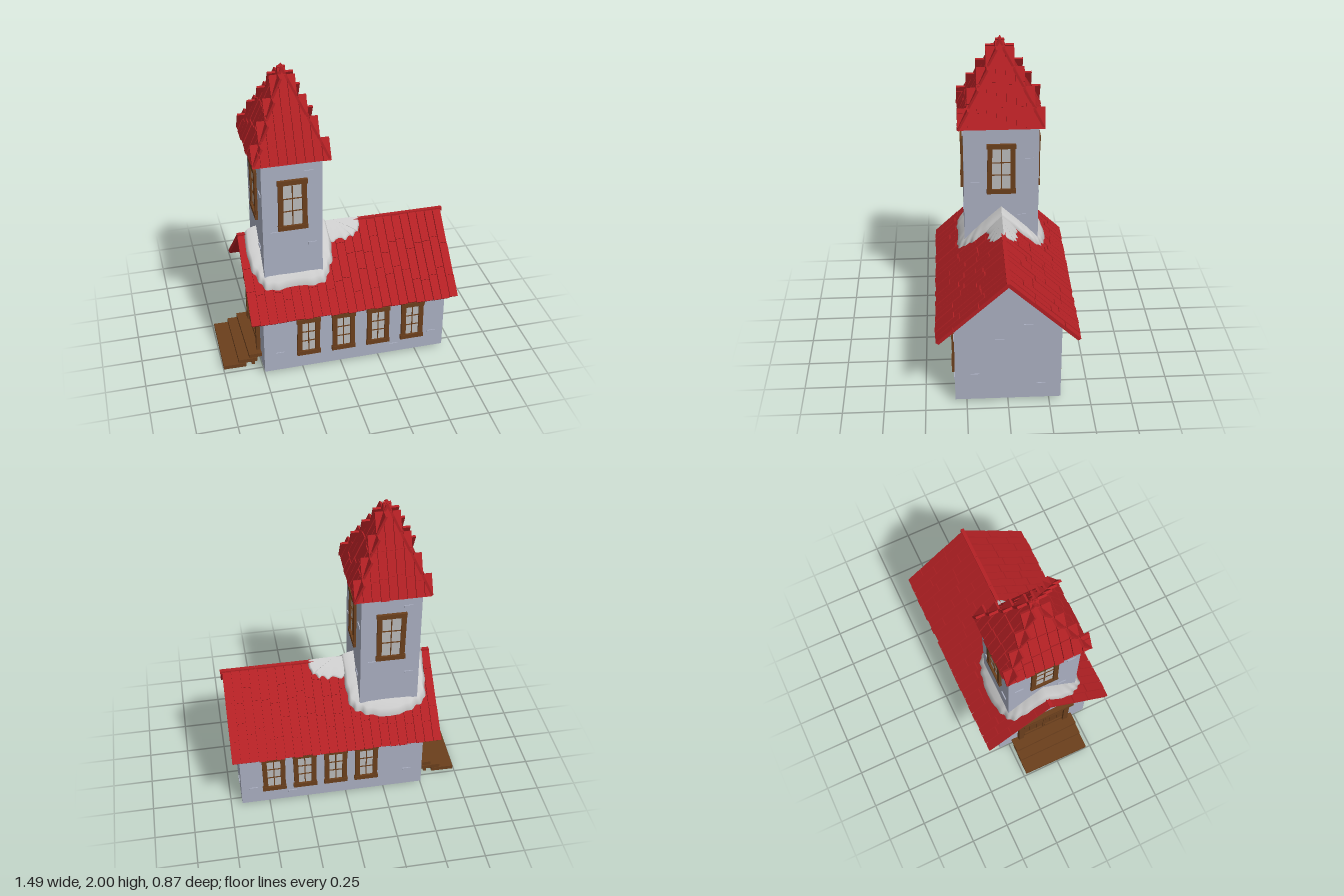
import * as THREE from 'three';
import { ParametricGeometry } from 'three/addons/geometries/ParametricGeometry.js';

const mat = (color, side = THREE.FrontSide) => new THREE.MeshStandardMaterial({ color, side });
const WALL = mat(0xa9aec0), RED = mat(0xb32024), WOOD = mat(0x6b3f1c);
const GLASS = mat(0xb9b9b9), SNOW = mat(0xd8d8d8, THREE.DoubleSide);
const unit = new THREE.BoxGeometry(1, 1, 1);

let seed = 7;
const rnd = (a, b) => {
  seed = (seed * 16807) % 2147483647;
  return a + (b - a) * (seed / 2147483647);
};

function box(parent, name, m, w, h, d, x, y, z) {
  const mesh = new THREE.Mesh(unit, m);
  mesh.name = name;
  mesh.scale.set(w, h, d);
  mesh.position.set(x, y, z);
  parent.add(mesh);
  return mesh;
}

function group(parent, name, x = 0, y = 0, z = 0, ry = 0) {
  const g = new THREE.Group();
  g.name = name;
  g.position.set(x, y, z);
  g.rotation.y = ry;
  parent.add(g);
  return g;
}

// Main roof section: half span, ridge height, eave drop
const RIDGE = 0.875, SPAN = 0.43, DROP = 0.4;
const roofY = z => RIDGE - Math.abs(z) * DROP / SPAN;

// Window facing +z, centred on its origin at the wall surface
function windowUnit(parent, w, h, x, y, z, ry) {
  const g = group(parent, 'window', x, y, z, ry);
  const b = 0.03;
  box(g, 'pane', GLASS, w - b, h - b, 0.004, 0, 0, 0.002);
  for (const s of [-1, 1]) {
    const post = box(g, 'framePost', WOOD, b, h, 0.024, s * (w - b) / 2, 0, 0.003);
    post.rotation.z = rnd(-0.02, 0.02);
    box(g, 'frameRail', WOOD, w + 0.008, b, 0.03, 0, s * (h - b) / 2, 0.003);
    box(g, 'crossBar', WOOD, w - b, 0.006, 0.008, 0, s * h / 8, 0.004).rotation.z = rnd(-0.03, 0.03);
  }
  box(g, 'middleBar', WOOD, 0.006, h - b, 0.008, 0, 0, 0.004);
}

// One column of tiles running down a slope (local z), split at the given marks
function tileColumn(parent, x, w, marks) {
  for (let i = 0; i + 1 < marks.length; i++) {
    const len = marks[i + 1] - marks[i];
    if (len < 0.02) continue;
    const t = box(parent, 'tile', RED, w - 0.005, 0.014, len - 0.004,
      x, rnd(-0.009, -0.005), (marks[i] + marks[i + 1]) / 2 + rnd(0, 0.004));
    t.rotation.x = 0.012;
    t.rotation.y = rnd(-0.008, 0.008);
  }
}

// Thin draped snow: polar patch with an outline function, following the roof
function snowPatch(parent, name, cx, outline, thick) {
  const geo = new ParametricGeometry((u, v, p) => {
    const a = u * Math.PI * 2, [rx, rz] = outline(a);
    const z = rz * v;
    p.set(cx + rx * v, roofY(z) + 0.004 + thick * Math.sqrt(Math.max(0, 1 - v ** 4)), z);
  }, 120, 14);
  const m = new THREE.Mesh(geo, SNOW);
  m.name = name;
  parent.add(m);
}

export function createModel() {
  const root = new THREE.Group();
  root.name = 'church';

  // Hall walls: two gables and two long walls, open underneath
  const hall = group(root, 'hall');
  const gable = new THREE.Shape([[-0.32, 0.02], [0.32, 0.02], [0.32, 0.555], [0, 0.85], [-0.32, 0.555]]
    .map(p => new THREE.Vector2(...p)));
  const gableGeo = new THREE.ExtrudeGeometry(gable, { depth: 0.025, bevelEnabled: false });
  gableGeo.rotateY(Math.PI / 2);
  for (const x of [-0.5, 0.655]) {
    const m = new THREE.Mesh(gableGeo, WALL);
    m.name = 'gableWall';
    m.position.x = x;
    hall.add(m);
  }
  for (const s of [-1, 1]) box(hall, 'longWall', WALL, 1.14, 0.535, 0.025, 0.09, 0.2875, s * 0.3075);

  // Hall windows
  for (let i = 0; i < 4; i++) {
    windowUnit(hall, 0.145, 0.28, -0.215 + i * 0.227, 0.26, 0.32, 0);
    windowUnit(hall, 0.145, 0.28, -0.13 + i * 0.199, 0.26, -0.32, Math.PI);
  }

  // Main roof: a slab with tile columns on each slope
  const roof = group(root, 'mainRoof', 0.07);
  const L = Math.hypot(SPAN, DROP), cols = 24, cw = 1.32 / cols;
  for (const ry of [0, Math.PI]) {
    const slope = group(group(roof, 'roofSide', 0, RIDGE + 0.003, 0, ry), 'slope');
    slope.rotation.x = Math.atan2(DROP, SPAN);
    box(slope, 'roofSlab', RED, 1.31, 0.012, L - 0.01, 0, -0.019, L / 2);
    for (let i = 0; i < cols; i++) {
      const a = L * rnd(0.2, 0.42), b = L * rnd(0.55, 0.8);
      tileColumn(slope, (i + 0.5) * cw - 0.66, cw, [0, a, b, L + rnd(-0.004, 0.004)]);
    }
  }
  for (let i = 0; i < 6; i++)
    box(roof, 'ridgeBoard', RED, 0.218, 0.022, 0.024, -0.548 + i * 0.222, RIDGE - 0.008, 0);

  // Tower: a hollow shaft open at the bottom
  const TX = -0.283, HX = 0.183, HZ = 0.235;
  const tower = group(root, 'tower', TX);
  const rect = (S, a, b) => {
    const s = new S();
    s.moveTo(-a, -b).lineTo(a, -b).lineTo(a, b).lineTo(-a, b).closePath();
    return s;
  };
  const plan = rect(THREE.Shape, HX, HZ);
  plan.holes.push(rect(THREE.Path, HX - 0.02, HZ - 0.02));
  const shaft = new THREE.Mesh(new THREE.ExtrudeGeometry(plan, { depth: 1.46, bevelEnabled: false }), WALL);
  shaft.name = 'towerWalls';
  shaft.rotation.x = -Math.PI / 2;
  shaft.position.y = 0.02;
  tower.add(shaft);

  // Tower spire: a pyramid core with stepped tile columns on four sides
  const spire = group(tower, 'spire', -0.003);
  const EX = 0.235, EZ = 0.27, H = 0.5, EAVE = 1.48;
  const core = new THREE.ConeGeometry(Math.SQRT2, 1, 4, 1).rotateY(Math.PI / 4).toNonIndexed();
  core.computeVertexNormals();
  const coreMesh = new THREE.Mesh(core, RED);
  coreMesh.name = 'spireCore';
  coreMesh.scale.set(EX - 0.012, H - 0.02, EZ - 0.012);
  coreMesh.position.y = EAVE - 0.01 + (H - 0.02) / 2;
  spire.add(coreMesh);
  for (let k = 0; k < 4; k++) {
    const [w, d] = k % 2 ? [EZ, EX] : [EX, EZ];
    const slope = group(group(spire, 'spireSide', 0, EAVE + H, 0, k * Math.PI / 2), 'slope');
    slope.rotation.x = Math.atan2(H, d);
    const len = Math.hypot(H, d), n = 9, tw = 2 * w / n;
    for (let i = 0; i < n; i++) {
      const x = (i + 0.5) * tw - w;
      const top = len * Math.max(0, Math.abs(x) - tw * 0.6) / w;
      const row = len * rnd(0.48, 0.52), low = len * rnd(0.7, 0.84);
      tileColumn(slope, x, tw, [top, ...[row, low].filter(s => s > top + 0.03), len + rnd(-0.008, 0.004)]);
    }
  }
  const finial = new THREE.Mesh(new THREE.ConeGeometry(0.025, 0.04, 4), RED);
  finial.name = 'spireTip';
  finial.position.y = 1.975;
  spire.add(finial);

  // Tower windows, one per side
  for (let k = 0; k < 4; k++) {
    const d = k % 2 ? HX : HZ, a = k * Math.PI / 2;
    windowUnit(tower, 0.175, 0.34, Math.sin(a) * d, 1.19, Math.cos(a) * d, a);
  }

  // Scattered stones standing slightly proud of the walls: [side, across, height]
  const stones = group(root, 'stones');
  const stone = (x, y, z, ry) => box(stones, 'stone', WALL, 0.055, 0.018, 0.012, x, y, z).rotation.y = ry;
  for (const [z, y] of [[-0.175, 1.25], [0.165, 1.09], [-0.13, 0.855]])
    for (const s of [-1, 1]) stone(TX + s * HX, y, s * z, Math.PI / 2);
  for (const [x, y] of [[-0.11, 1.0], [0.12, 0.9], [0.1, 1.4]])
    for (const s of [-1, 1]) stone(TX + s * x, y, s * HZ, 0);
  for (const [x, y] of [[-0.4, 0.15], [-0.36, 0.42], [0.35, 0.08], [0.6, 0.14], [0.6, 0.42]])
    for (const s of [-1, 1]) stone(x, y, s * 0.32, 0);
  for (const [z, y] of [[-0.2, 0.12], [0.2, 0.2], [0.05, 0.45], [-0.12, 0.55]]) stone(0.68, y, z, Math.PI / 2);

  // Double door with plank leaves, facing -x
  const door = group(root, 'door', -0.5, 0, 0, -Math.PI / 2);
  for (let i = 0; i < 6; i++)
    box(door, 'doorPlank', WOOD, 0.047, 0.31, 0.016, (i - 2.5) * 0.05, 0.235, 0.004);
  for (const s of [-1, 1]) {
    box(door, 'doorPost', WOOD, 0.036, 0.34, 0.05, s * 0.165, 0.24, 0);
    for (const y of [0.15, 0.32]) box(door, 'doorBrace', WOOD, 0.13, 0.025, 0.01, s * 0.076, y, 0.015);
  }
  box(door, 'doorLintel', WOOD, 0.42, 0.035, 0.065, 0, 0.413, 0);

  // Entrance steps
  const steps = group(root, 'steps');
  [[-0.745, -0.6, 0.018], [-0.65, -0.53, 0.048], [-0.585, -0.49, 0.08]].forEach(([a, b, y], i) => {
    box(steps, 'tread', WOOD, b - a, 0.026, 0.45, (a + b) / 2, y, -0.005).rotation.y = (i - 1) * 0.015;
    if (i) box(steps, 'riser', WOOD, 0.02, y, 0.42, a + 0.03, y / 2, -0.005);
  });

  // Snow drift around the tower and a ragged patch along the ridge
  const pow = (t, e) => Math.sign(t) * Math.abs(t) ** e;
  const snow = group(root, 'snow');
  snowPatch(snow, 'towerSnow', -0.28, a => {
    const r = 1 + 0.02 * Math.sin(a * 7) + 0.015 * Math.sin(a * 19);
    return [0.262 * r * pow(Math.cos(a), 0.5), 0.285 * r * pow(Math.sin(a), 0.5)];
  }, 0.05);
  snowPatch(snow, 'ridgeSnow', 0.02, a => {
    const drip = 0.9 + 0.16 * Math.abs(Math.sin(a * 8.5)) ** 3;
    return [0.17 * pow(Math.cos(a), 0.8), 0.095 * drip * pow(Math.sin(a), 0.7)];
  }, 0.012);

  return root;
}
